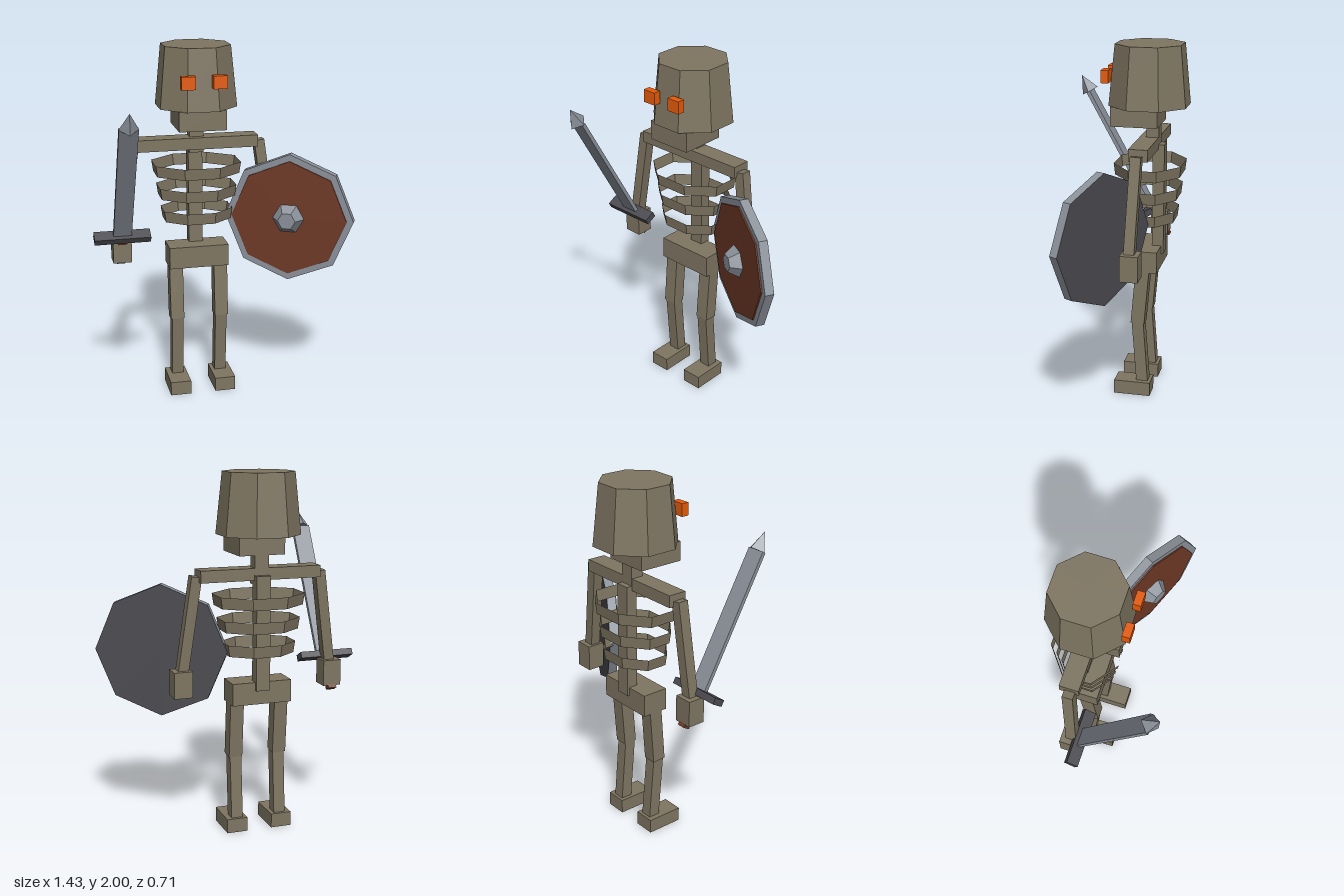
import * as THREE from 'three';

function material(name, color, side = THREE.FrontSide) {
  const m = new THREE.MeshStandardMaterial({ color, flatShading: true, side });
  m.name = name;
  return m;
}

export function createModel() {
  const bone = material('bone', 0x7f7662);
  const ribBone = material('ribBone', 0x7f7662, THREE.DoubleSide);
  const steel = material('steel', 0x8c929b);
  const iron = material('darkIron', 0x4b4b51);
  const wood = material('wood', 0x6f3a26);
  const glow = material('eyeGlow', 0xe65c0a);

  const model = new THREE.Group();
  model.name = 'skeletonWarrior';
  const cx = -0.123; // body centre line

  function add(name, geometry, mat, x, y, z, parent = model) {
    const mesh = new THREE.Mesh(geometry, mat);
    mesh.name = name;
    mesh.position.set(x, y, z);
    parent.add(mesh);
    return mesh;
  }
  const box = (name, w, h, d, mat, x, y, z, parent) =>
    add(name, new THREE.BoxGeometry(w, h, d), mat, x, y, z, parent);

  // Square bone running between two points
  function limb(name, a, b, thickness) {
    const from = new THREE.Vector3(...a), to = new THREE.Vector3(...b);
    const dir = to.clone().sub(from);
    const mid = from.clone().add(to).multiplyScalar(0.5);
    const mesh = box(name, thickness, dir.length(), thickness, bone, mid.x, mid.y, mid.z);
    mesh.quaternion.setFromUnitVectors(new THREE.Vector3(0, -1, 0), dir.normalize());
  }

  // Skull, jaw and eyes
  const skull = new THREE.CylinderGeometry(0.195, 0.23, 0.335, 8);
  skull.rotateY(Math.PI / 8);
  add('skull', skull, bone, cx, 1.8325, -0.141);
  box('jaw', 0.26, 0.108, 0.26, bone, cx, 1.613, -0.077);

  // Neck, collar, spine and pelvis
  box('neck', 0.08, 0.17, 0.07, bone, cx, 1.485, -0.165);
  box('collarBar', 0.685, 0.066, 0.105, bone, cx, 1.457, -0.146);
  box('spine', 0.08, 0.63, 0.065, bone, cx, 1.135, -0.2);
  box('pelvis', 0.34, 0.124, 0.15, bone, cx, 0.805, -0.145);

  // Rib hoops, narrowing downwards
  [[1.316, 0.26], [1.183, 0.234], [1.05, 0.21]].forEach(([y, r], i) => {
    const hoop = new THREE.CylinderGeometry(r, r - 0.01, 0.064, 8, 1, true);
    hoop.rotateY(Math.PI / 8);
    hoop.scale(1, 1, 0.78);
    add('rib' + (i + 1), hoop, ribBone, cx, y, -0.148);
  });

  // Paired parts, mirrored about the body centre line
  for (const s of [-1, 1]) {
    const side = s > 0 ? 'left' : 'right';
    const at = (dx) => cx + s * dx;
    box(side + 'Eye', 0.077, 0.07, 0.042, glow, at(0.086), 1.828, 0.085);
    limb(side + 'Arm', [at(0.355), 1.455, -0.142], [at(0.43), 0.92, -0.122], 0.058);
    box(side + 'Hand', 0.104, 0.145, 0.1, bone, at(0.435), 0.873, -0.129);
    limb(side + 'Thigh', [at(0.129), 0.81, -0.143], [at(0.129), 0.435, -0.112], 0.077);
    limb(side + 'Shin', [at(0.127), 0.445, -0.111], [at(0.127), 0.06, -0.141], 0.066);
    box(side + 'Foot', 0.118, 0.08, 0.208, bone, at(0.131), 0.04, -0.086);
  }

  // Sword, built upright from the guard and tilted forwards
  const sword = new THREE.Group();
  sword.name = 'sword';
  sword.position.set(-0.558, 0.955, -0.075);
  sword.rotation.x = 0.505;
  model.add(sword);
  box('guard', 0.314, 0.036, 0.068, iron, 0, 0, 0, sword);
  box('grip', 0.048, 0.2, 0.04, wood, 0, -0.1, 0, sword);
  box('blade', 0.102, 0.775, 0.022, steel, 0, 0.4025, 0, sword);
  add('bladeTip', new THREE.ConeGeometry(0.052, 0.103, 4), steel, 0, 0.8405, 0, sword);

  // Shield, built facing +z and turned towards the body's right
  const shield = new THREE.Group();
  shield.name = 'shield';
  shield.position.set(0.378, 1.034, 0.015);
  shield.rotation.y = -0.475;
  model.add(shield);
  const disc = (rFront, rBack, depth, sides, turn = 0) =>
    new THREE.CylinderGeometry(rFront, rBack, depth, sides).rotateY(turn).rotateX(Math.PI / 2);
  add('shieldRim', disc(0.366, 0.366, 0.05, 8), [steel, steel, iron], 0, 0, 0, shield);
  add('shieldFace', disc(0.328, 0.328, 0.008, 8), wood, 0, 0, 0.029, shield);
  add('shieldBoss', disc(0.05, 0.09, 0.06, 6, Math.PI / 6), steel, 0, 0, 0.062, shield);

  return model;
}
